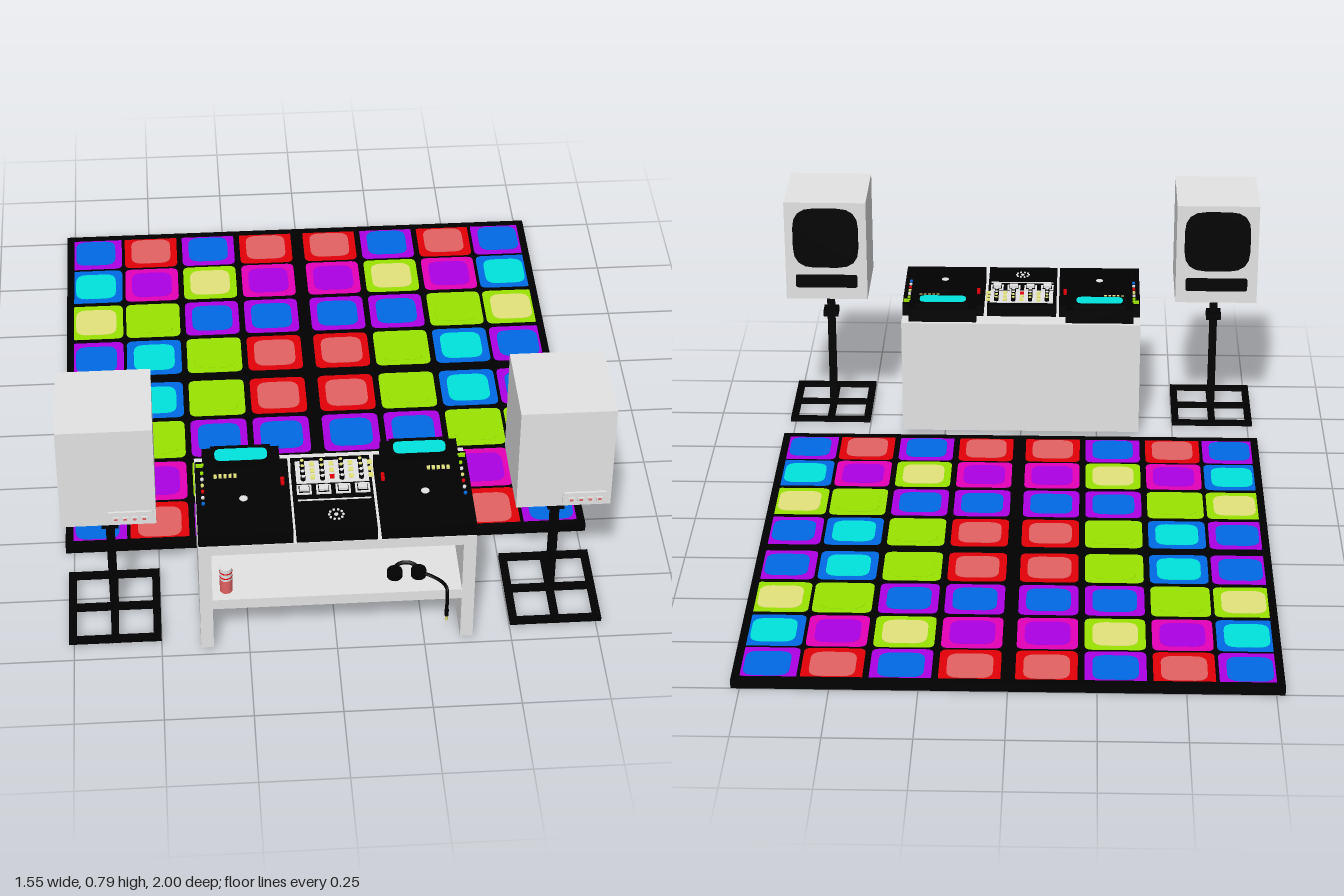
import * as THREE from 'three';

const mat = (name, color) => Object.assign(new THREE.MeshStandardMaterial({ color }), { name });

export function createModel() {
  const M = {
    black: mat('black', 0x000000), grey: mat('grey', 0xe4e4e4),
    blue: mat('blue', 0x006ae5), cyan: mat('cyan', 0x00e4de),
    purple: mat('purple', 0xad00e4), magenta: mat('magenta', 0xe500b9),
    red: mat('red', 0xe40008), salmon: mat('salmon', 0xe46262),
    green: mat('green', 0x9ae400), khaki: mat('khaki', 0xe4e47c),
  };
  const root = new THREE.Group();
  root.name = 'discoStage';

  const group = (name, parent = root) => {
    const g = new THREE.Group();
    g.name = name;
    parent.add(g);
    return g;
  };
  const add = (parent, name, geo, m, x, y, z) => {
    const mesh = new THREE.Mesh(geo, M[m]);
    mesh.name = name;
    mesh.position.set(x, y, z);
    parent.add(mesh);
    return mesh;
  };
  // Box given by its limits on each axis
  const box = (parent, name, m, x0, x1, y0, y1, z0, z1) =>
    add(parent, name, new THREE.BoxGeometry(Math.abs(x1 - x0), y1 - y0, z1 - z0), m,
      (x0 + x1) / 2, (y0 + y1) / 2, (z0 + z1) / 2);
  const disc = (parent, name, m, r, h, x, y, z, n = 12) =>
    add(parent, name, new THREE.CylinderGeometry(r, r, h, n), m, x, y + h / 2, z);
  // Upright rounded rectangle in xy, extruded by h along z
  const roundedPlate = (w, d, h, r) => {
    const a = w / 2, b = d / 2, s = new THREE.Shape();
    s.moveTo(-a + r, -b);
    s.lineTo(a - r, -b); s.quadraticCurveTo(a, -b, a, -b + r);
    s.lineTo(a, b - r); s.quadraticCurveTo(a, b, a - r, b);
    s.lineTo(-a + r, b); s.quadraticCurveTo(-a, b, -a, b - r);
    s.lineTo(-a, -b + r); s.quadraticCurveTo(-a, -b, -a + r, -b);
    return new THREE.ExtrudeGeometry(s, { depth: h, bevelEnabled: false, curveSegments: 4 });
  };
  const flatPlate = (...a) => roundedPlate(...a).rotateX(-Math.PI / 2);

  // Dance floor: slab, border and tiles mirrored in four quarters
  const floor = group('danceFloor');
  const CZ = -0.225, H = 0.775;
  box(floor, 'floorSlab', 'black', -H, H, 0.002, 0.0245, CZ - H, CZ + H);
  for (const s of [-1, 1]) {
    box(floor, 'floorBorder', 'black', s * 0.752, s * H, 0, 0.027, CZ - H, CZ + H);
    const z = CZ + s * (H + 0.752) / 2;
    box(floor, 'floorBorder', 'black', -0.752, 0.752, 0, 0.027, z - 0.0115, z + 0.0115);
  }
  const looks = {
    B: ['purple', 'blue'], R: ['red', 'salmon'], C: ['blue', 'cyan'],
    P: ['magenta', 'purple'], Y: ['green', 'khaki'], G: ['green', 'green'],
  };
  const pattern = ['RGCB', 'BBGY', 'PYPC', 'RBRB']; // centre outwards
  const rim = flatPlate(0.175, 0.175, 0.0245, 0.022);
  const panel = flatPlate(0.131, 0.131, 0.0265, 0.035);
  const at = [0.108, 0.302, 0.495, 0.68];
  for (const sx of [-1, 1]) for (const sz of [-1, 1])
    pattern.forEach((row, j) => [...row].forEach((key, i) => {
      add(floor, 'tileRim', rim, looks[key][0], sx * at[i], 0.001, CZ + sz * at[j]);
      add(floor, 'tilePanel', panel, looks[key][1], sx * at[i], 0, CZ + sz * at[j]);
    }));

  // Booth: table with side walls, back panel and shelf
  const booth = group('booth');
  for (const s of [-1, 1]) box(booth, 'sideWall', 'grey', s * 0.352, s * 0.388, 0.015, 0.4, 0.61, 0.987);
  box(booth, 'tableTop', 'grey', -0.352, 0.352, 0.367, 0.4, 0.61, 0.987);
  box(booth, 'shelf', 'grey', -0.352, 0.352, 0.163, 0.197, 0.64, 0.987);
  box(booth, 'backPanel', 'grey', -0.352, 0.352, 0.015, 0.367, 0.61, 0.64);

  // Decks, mirrored left and right
  for (const s of [-1, 1]) {
    const deck = group(s > 0 ? 'leftDeck' : 'rightDeck');
    const X = 0.255 * s;
    box(deck, 'deckBody', 'black', s * 0.123, s * 0.387, 0.4, 0.44, 0.672, 0.985);
    box(deck, 'deckRear', 'black', s * 0.145, s * 0.365, 0.4, 0.446, 0.622, 0.7);
    box(deck, 'screenHousing', 'black', s * 0.17, s * 0.34, 0.446, 0.461, 0.63, 0.703);
    add(deck, 'screen', flatPlate(0.15, 0.052, 0.001, 0.02), 'cyan', X, 0.461, 0.67);
    disc(deck, 'jogWheel', 'black', 0.085, 0.012, X, 0.44, 0.85, 32);
    disc(deck, 'jogCentre', 'grey', 0.012, 0.002, X, 0.452, 0.85);
    box(deck, 'pitchFader', 'black', s * 0.36, s * 0.375, 0.44, 0.45, 0.87, 0.89);
    for (let i = 0; i < 5; i++)
      box(deck, 'cueLight', 'khaki', s * (0.27 + i * 0.014), s * (0.279 + i * 0.014), 0.44, 0.446, 0.735, 0.747);
    ['green', 'grey', 'khaki', 'red', 'grey', 'blue'].forEach((m, i) =>
      disc(deck, 'sideButton', m, 0.005, 0.006, s * 0.368, 0.44, 0.725 + i * 0.026, 8));
    box(deck, 'outerLight', 'green', s * 0.362, s * 0.384, 0.44, 0.449, 0.69, 0.698);
    for (const z of [0.765, 0.782]) disc(deck, 'redButton', 'red', 0.006, 0.009, s * 0.142, 0.44, z, 8);
    for (const z of [0.91, 0.945]) disc(deck, 'playButton', 'black', 0.012, 0.008, s * 0.365, 0.44, z);
  }

  // Mixer with knobs, faders and pad ring
  const mixer = group('mixer');
  box(mixer, 'mixerBody', 'black', -0.114, 0.111, 0.4, 0.44, 0.672, 0.985);
  box(mixer, 'mixerPanel', 'grey', -0.103, 0.103, 0.44, 0.443, 0.69, 0.785);
  const capColours = ['khaki', 'khaki', 'grey', 'grey'];
  for (let i = 0; i < 4; i++) {
    const x = -0.083 + i * 0.055;
    capColours.forEach((m, j) => {
      const z = 0.702 + j * 0.023;
      disc(mixer, 'knob', 'black', 0.007, 0.012, x, 0.443, z, 8);
      disc(mixer, 'knobCap', m, 0.0055, 0.002, x, 0.455, z, 8);
    });
    for (let j = 0; j < 3; j++)
      box(mixer, 'levelLight', j === 2 && i === 1 ? 'red' : 'khaki', x + 0.021, x + 0.034, 0.443, 0.446, 0.698 + j * 0.028, 0.715 + j * 0.028);
    box(mixer, 'faderPlate', 'grey', x - 0.021, x + 0.021, 0.44, 0.443, 0.793, 0.832);
    box(mixer, 'faderSlot', 'black', x - 0.015, x + 0.015, 0.443, 0.4445, 0.799, 0.826);
    box(mixer, 'faderCap', 'grey', x - 0.013, x + 0.013, 0.443, 0.452, 0.802, 0.823);
  }
  box(mixer, 'dividerStrip', 'grey', -0.103, 0.103, 0.44, 0.442, 0.853, 0.858);
  for (let i = 0; i < 10; i++) {
    const a = i * Math.PI / 5;
    disc(mixer, 'ringLight', 'grey', 0.004, 0.003, 0.02 * Math.cos(a), 0.44, 0.92 + 0.02 * Math.sin(a), 6);
  }
  disc(mixer, 'ringCentre', 'grey', 0.006, 0.003, 0, 0.44, 0.92, 8);

  // Drink can on the shelf
  const can = group('drink');
  disc(can, 'canBase', 'salmon', 0.018, 0.046, -0.312, 0.197, 0.945, 16);
  disc(can, 'canTop', 'grey', 0.018, 0.042, -0.312, 0.243, 0.945, 16);
  for (const y of [0.251, 0.268]) disc(can, 'canStripe', 'red', 0.0185, 0.004, -0.312, y, 0.945, 16);

  // Headphones lying on the shelf, cable hanging over the edge
  const phones = group('headphones');
  for (const x of [0.167, 0.235]) disc(phones, 'earCup', 'black', 0.022, 0.022, x, 0.197, 0.92, 14);
  const band = add(phones, 'headband', new THREE.TorusGeometry(0.036, 0.006, 6, 16, Math.PI), 'black', 0.201, 0.205, 0.91);
  band.rotation.x = -Math.PI / 2;
  const cablePath = new THREE.CatmullRomCurve3([[0.24, 0.208, 0.92], [0.275, 0.206, 0.94], [0.3, 0.205, 0.965],
    [0.309, 0.203, 0.986], [0.31, 0.19, 0.993], [0.31, 0.11, 0.994]].map(p => new THREE.Vector3(...p)));
  add(phones, 'cable', new THREE.TubeGeometry(cablePath, 32, 0.005, 6), 'black', 0, 0, 0);
  disc(phones, 'plugBody', 'black', 0.006, 0.022, 0.31, 0.106, 0.994, 8);
  disc(phones, 'plugTip', 'khaki', 0.004, 0.018, 0.31, 0.088, 0.994, 8);

  // Speakers on stands, facing the dance floor
  for (const s of [-1, 1]) {
    const sp = group(s > 0 ? 'leftSpeaker' : 'rightSpeaker');
    const X = 0.632 * s, Z = 0.807;
    box(sp, 'cabinet', 'grey', X - 0.132, X + 0.132, 0.455, 0.79, 0.675, 0.94);
    add(sp, 'grille', roundedPlate(0.212, 0.205, 0.004, 0.068), 'black', X, 0.668, 0.673);
    add(sp, 'bassPort', roundedPlate(0.2, 0.045, 0.004, 0.008), 'black', X, 0.518, 0.673);
    // Connector plate on the back
    add(sp, 'connectorPlate', roundedPlate(0.126, 0.042, 0.006, 0.008), 'grey', X + 0.06, 0.483, 0.94);
    for (let i = 0; i < 4; i++) {
      const x = X + 0.021 + i * 0.026;
      box(sp, 'socket', 'grey', x - 0.009, x + 0.009, 0.475, 0.489, 0.945, 0.95);
      box(sp, 'socketCore', 'salmon', x - 0.005, x + 0.005, 0.479, 0.485, 0.949, 0.951);
    }
    // Stand: pole, collar and crossed square base
    box(sp, 'pole', 'black', X - 0.0122, X + 0.0122, 0.02, 0.455, Z - 0.0122, Z + 0.0122);
    box(sp, 'collar', 'black', X - 0.024, X + 0.024, 0.344, 0.366, Z - 0.024, Z + 0.024);
    for (const k of [-1, 0, 1]) {
      const bx = X + k * 0.121, bz = Z + k * 0.134;
      box(sp, 'baseBar', 'black', bx - 0.011, bx + 0.011, 0.014, 0.028, Z - 0.145, Z + 0.145);
      box(sp, 'baseBar', 'black', X - 0.132, X + 0.132, 0.0145, 0.0275, bz - 0.011, bz + 0.011);
    }
  }
  return root;
}
